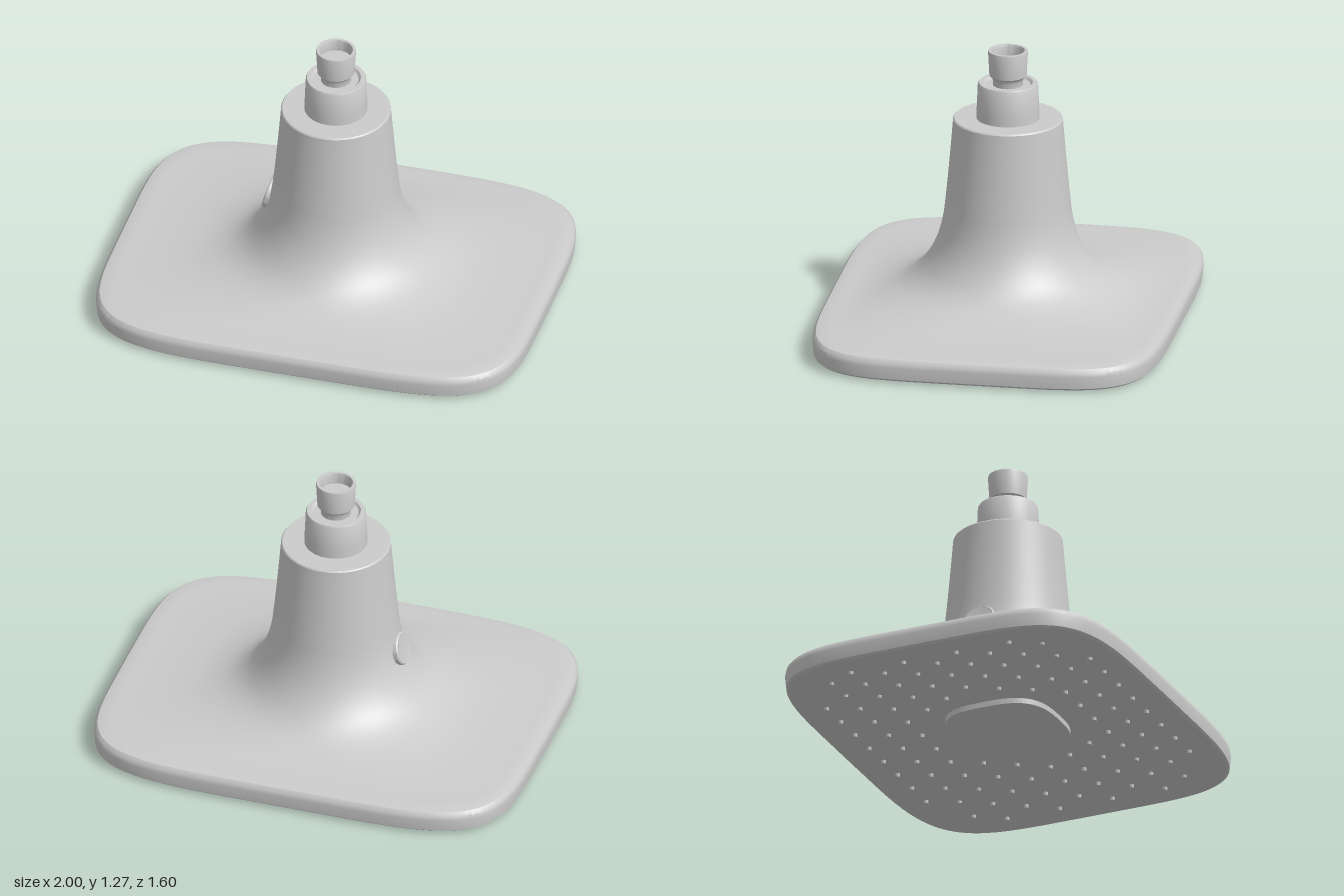
import * as THREE from 'three';
import { mergeVertices, toCreasedNormals } from 'three/addons/utils/BufferGeometryUtils.js';

const material = new THREE.MeshStandardMaterial({ color: 0xcccccc, side: THREE.DoubleSide });
const SEGMENTS = 96;

// Superellipse outline point: n = 2 is a circle, larger n is a squarer outline
function outline(rx, rz, n, t) {
  const c = Math.cos(t), s = Math.sin(t);
  return [
    rx * Math.sign(c) * Math.abs(c) ** (2 / n),
    rz * Math.sign(s) * Math.abs(s) ** (2 / n),
  ];
}

// Skin a stack of rings [rx, rz, y, n], ordered from the bottom up
function loft(rings, crease = 0.6) {
  const pos = [], index = [];
  for (const [rx, rz, y, n] of rings) {
    for (let i = 0; i < SEGMENTS; i++) {
      const [x, z] = outline(rx, rz, n, (i / SEGMENTS) * Math.PI * 2);
      pos.push(x, y, z);
    }
  }
  for (let r = 0; r < rings.length - 1; r++) {
    for (let i = 0; i < SEGMENTS; i++) {
      const j = (i + 1) % SEGMENTS;
      const a = r * SEGMENTS + i, b = r * SEGMENTS + j;
      const c = a + SEGMENTS, d = b + SEGMENTS;
      index.push(a, c, b, b, c, d);
    }
  }
  const g = new THREE.BufferGeometry();
  g.setAttribute('position', new THREE.Float32BufferAttribute(pos, 3));
  g.setIndex(index);
  return toCreasedNormals(g, crease);
}

function lathe(points) {
  const g = new THREE.LatheGeometry(points.map(p => new THREE.Vector2(...p)), 48);
  g.deleteAttribute('normal');
  g.deleteAttribute('uv');
  return toCreasedNormals(mergeVertices(g), 0.5);
}

export function createModel() {
  const model = new THREE.Group();
  const add = (name, geometry, parent = model) => {
    const mesh = new THREE.Mesh(geometry, material);
    mesh.name = name;
    parent.add(mesh);
    return mesh;
  };

  // Spray plate: shallow dished face and rounded rim
  const faceY = r => 0.016 + 0.03 * (1 - Math.min(1, r / 0.95) ** 2);
  const rings = [0.001, 0.25, 0.5, 0.75, 0.95].map(r => [r, r * 0.8, faceY(r), 5]);
  rings.push([0.985, 0.785, 0.016, 5], [0.995, 0.795, 0.025, 5], [1, 0.8, 0.08, 5],
    [0.997, 0.797, 0.1, 5], [0.985, 0.785, 0.115, 5], [0.96, 0.76, 0.121, 5]);

  // Flared bell: the squared plate blends into a round neck
  const flare = new THREE.CatmullRomCurve3([
    [0.96, 0.121], [0.83, 0.126], [0.7, 0.136], [0.58, 0.155], [0.48, 0.19], [0.41, 0.24],
    [0.355, 0.31], [0.317, 0.39], [0.293, 0.48], [0.28, 0.58], [0.262, 0.77], [0.247, 0.95],
  ].map(([x, y]) => new THREE.Vector3(x, y, 0)));
  for (const { x, y } of flare.getPoints(36).slice(1)) {
    const k = THREE.MathUtils.smoothstep(x, 0.38, 0.96);
    rings.push([x, x * (1 - 0.2083 * k), y, 2 + 3 * k]);
  }
  rings.push([0.242, 0.242, 0.956, 2], [0.001, 0.001, 0.956, 2]);
  add('plateAndBell', loft(rings));

  // Raised centre pad on the spray face
  add('centrePad', loft([
    [0.001, 0.001, 0.012, 3], [0.26, 0.245, 0.012, 3], [0.27, 0.255, 0.018, 3], [0.27, 0.255, 0.06, 3],
  ]));

  // Spray nozzles in staggered rows, leaving the pad clear
  const nozzles = new THREE.Group();
  nozzles.name = 'nozzles';
  model.add(nozzles);
  const nozzle = new THREE.CylinderGeometry(0.013, 0.01, 0.03, 10);
  for (let row = -5; row <= 5; row++) {
    const z = row * 0.13;
    const shift = row % 2 ? 0.5 : 0;
    for (let col = -6; col <= 6; col++) {
      const x = (col + shift) * 0.155;
      const edge = Math.abs(x / 0.88) ** 5 + Math.abs(z / 0.7) ** 5;
      if (edge > 1 || Math.hypot(x, z) < 0.33) continue;
      const r = Math.max(Math.abs(x), Math.abs(z) / 0.8);
      add('nozzle', nozzle, nozzles).position.set(x, faceY(r) - 0.001, z);
    }
  }

  // Collar with a dished top
  add('collar', lathe([
    [0.143, 0.95], [0.141, 1.0], [0.136, 1.115], [0.131, 1.124], [0.112, 1.124], [0.102, 1.112], [0, 1.112],
  ]));

  // Threaded-end connector: narrow neck and open socket
  add('connector', lathe([
    [0.068, 1.105], [0.068, 1.135], [0.075, 1.15], [0.084, 1.157], [0.09, 1.268], [0.088, 1.275],
    [0.076, 1.275], [0.072, 1.265], [0.072, 1.22], [0, 1.22],
  ]));

  // Round push button on the flank of the bell
  const button = add('button', lathe([
    [0, -0.02], [0.076, -0.02], [0.076, 0.008], [0.07, 0.014], [0.06, 0.012], [0, 0.015],
  ]));
  button.position.set(-0.307, 0.433, 0);
  button.rotation.z = THREE.MathUtils.degToRad(75);

  return model;
}
